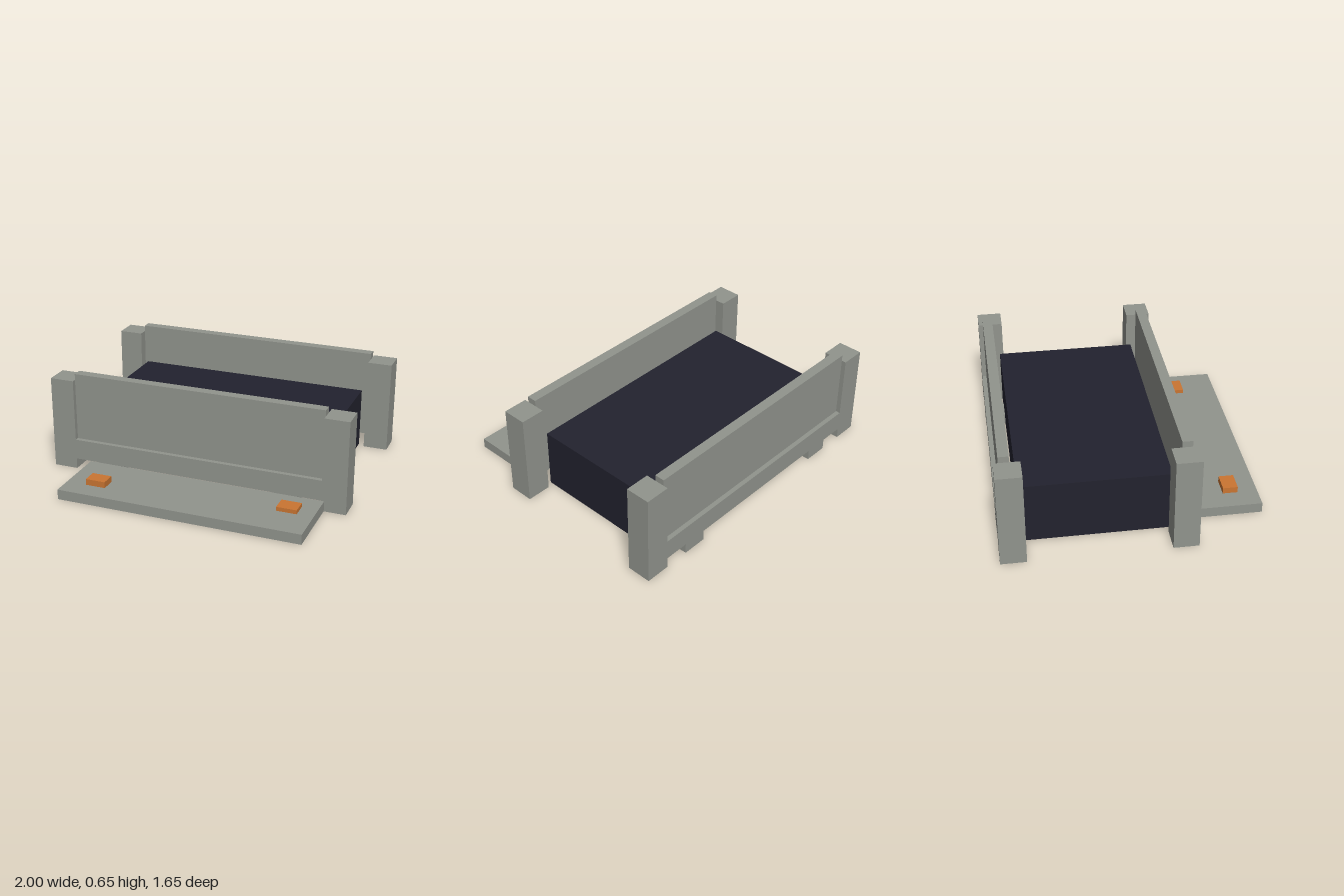
import * as THREE from 'three';

const mat = (name, color) => {
  const m = new THREE.MeshStandardMaterial({ color });
  m.name = name;
  return m;
};

export function createModel() {
  const model = new THREE.Group();
  const grey = mat('warm grey', 0x91948d);
  const dark = mat('dark navy', 0x22222e);
  const orange = mat('orange', 0xca7532);

  // Box given by its minimum and maximum on each axis
  const block = (name, material, [x0, x1], [y0, y1], [z0, z1], parent = model) => {
    const g = new THREE.BoxGeometry(x1 - x0, y1 - y0, z1 - z0);
    const mesh = new THREE.Mesh(g, material);
    mesh.position.set((x0 + x1) / 2, (y0 + y1) / 2, (z0 + z1) / 2);
    mesh.name = name;
    parent.add(mesh);
    return mesh;
  };

  // End wall: two posts, a bottom rail and a recessed panel; local z = 0 is the outer face
  const endWall = (name, z, turn) => {
    const wall = new THREE.Group();
    wall.name = name;
    for (const s of [-1, 1]) {
      block('post', grey, s < 0 ? [-1, -0.84] : [0.84, 1], [0, 0.615], [-0.16, 0], wall);
    }
    block('rail', grey, [-0.84, 0.84], [0.07, 0.205], [-0.095, 0], wall);
    block('panel', grey, [-0.84, 0.84], [0.205, 0.655], [-0.095, -0.03], wall);
    wall.position.z = z;
    wall.rotation.y = turn;
    model.add(wall);
  };
  endWall('frontWall', 0.373, 0);
  endWall('backWall', -0.827, Math.PI);

  // Core block between the walls
  block('core', dark, [-0.8, 0.8], [0.002, 0.4], [-0.693, 0.237]);

  // Runners joining the two walls underneath
  for (const x of [-0.6, 0.6]) {
    block('runner', grey, [x - 0.08, x + 0.08], [0, 0.07], [-0.827, 0.373]);
  }

  // Front step with two tabs set through it
  block('frontStep', grey, [-0.735, 0.86], [0.002, 0.068], [0.373, 0.827]);
  block('rightTab', orange, [-0.6, -0.47], [0, 0.108], [0.605, 0.7]);
  block('leftTab', orange, [0.625, 0.755], [0, 0.094], [0.492, 0.596]);

  return model;
}
